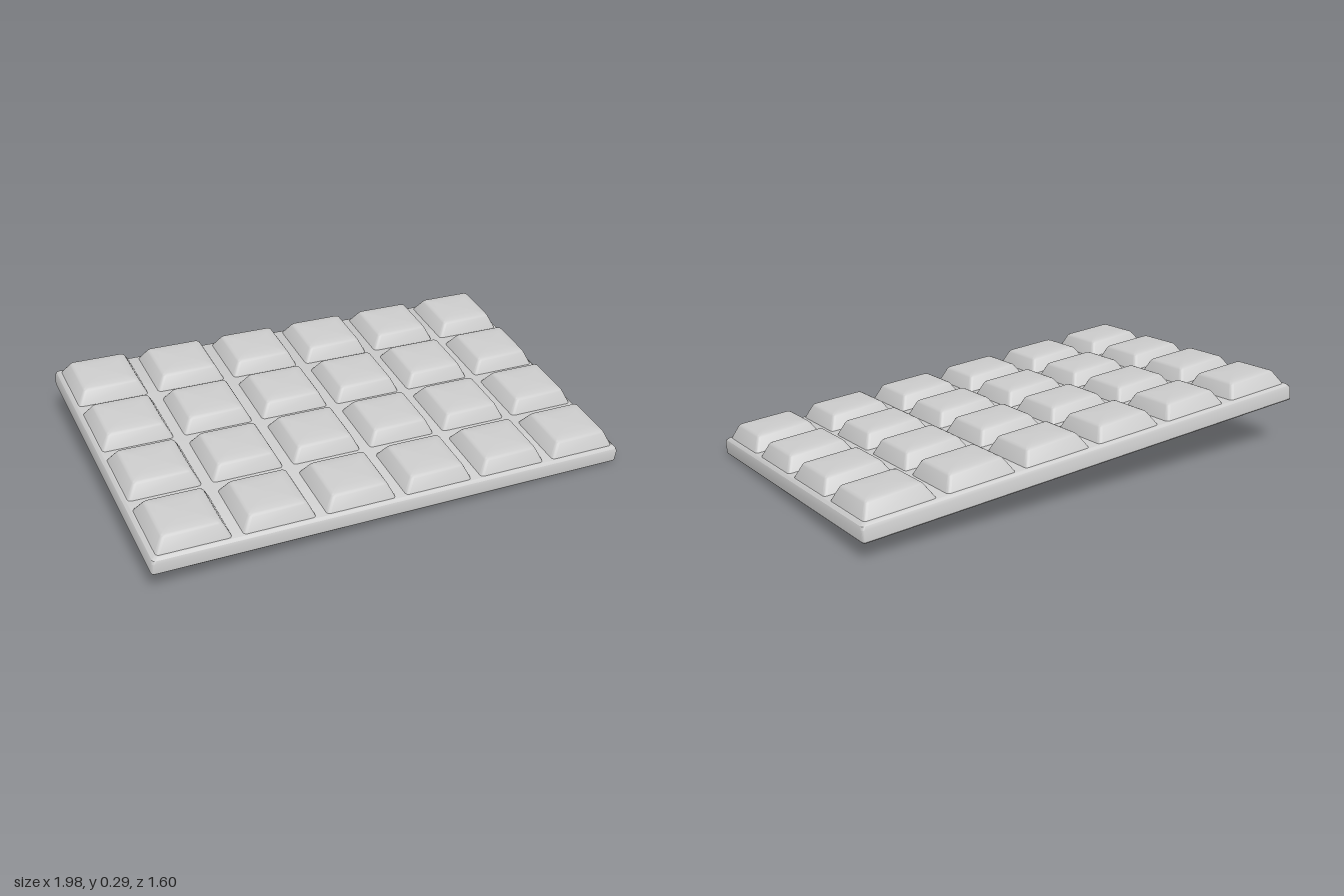
import * as THREE from 'three';
import { toCreasedNormals } from 'three/addons/utils/BufferGeometryUtils.js';

const LENGTH = 1.73, WIDTH = 1.07, COLS = 6, ROWS = 4;

// Rounded-rectangle outline, counter-clockwise seen from above
function outline(w, d, r, y, segs = 3) {
  const points = [];
  const corners = [[1, 1], [-1, 1], [-1, -1], [1, -1]];
  corners.forEach(([sx, sz], c) => {
    for (let i = 0; i <= segs; i++) {
      const a = (c + i / segs) * Math.PI / 2;
      points.push([sx * (w / 2 - r) + r * Math.cos(a), y, sz * (d / 2 - r) + r * Math.sin(a)]);
    }
  });
  return points;
}

// Stack outlines along a profile of [inset, height, corner radius] and cap both ends
function loft(w, d, profile) {
  const rings = profile.map(([inset, y, r]) => outline(w - 2 * inset, d - 2 * inset, r, y));
  const n = rings[0].length;
  const positions = rings.flat(2);
  const index = [];
  for (let k = 0; k < rings.length - 1; k++) {
    for (let i = 0; i < n; i++) {
      const a = k * n + i, b = k * n + (i + 1) % n;
      index.push(a, a + n, b, b, a + n, b + n);
    }
  }
  const last = (rings.length - 1) * n;
  const bottom = positions.length / 3, top = bottom + 1;
  positions.push(0, profile[0][1], 0, 0, profile[profile.length - 1][1], 0);
  for (let i = 0; i < n; i++) {
    const j = (i + 1) % n;
    index.push(bottom, i, j, top, last + j, last + i);
  }
  const geometry = new THREE.BufferGeometry();
  geometry.setAttribute('position', new THREE.Float32BufferAttribute(positions, 3));
  geometry.setIndex(index);
  return toCreasedNormals(geometry, 0.6);
}

export function createModel() {
  const model = new THREE.Group();
  model.name = 'chocolateBar';
  const material = new THREE.MeshStandardMaterial({ color: 0xcccccc });

  const bar = new THREE.Group();
  bar.name = 'bar';
  model.add(bar);

  // Flat slab with a bevelled upper rim
  const slab = new THREE.Mesh(loft(LENGTH, WIDTH, [
    [0.003, 0, 0.008], [0, 0.004, 0.01], [0, 0.042, 0.01], [0.004, 0.053, 0.01], [0.014, 0.06, 0.008],
  ]), material);
  slab.name = 'slab';
  bar.add(slab);

  // Grid of sloped blocks with softened top edges
  const cellX = LENGTH / COLS, cellZ = WIDTH / ROWS;
  const blockGeometry = loft(cellX - 0.034, cellZ - 0.034, [
    [0, 0.055, 0.012], [0.004, 0.065, 0.012], [0.025, 0.104, 0.012],
    [0.029, 0.109, 0.012], [0.036, 0.112, 0.01], [0.06, 0.115, 0.008],
  ]);
  for (let row = 0; row < ROWS; row++) {
    for (let col = 0; col < COLS; col++) {
      const block = new THREE.Mesh(blockGeometry, material);
      block.name = `block${row + 1}_${col + 1}`;
      block.position.set((col - (COLS - 1) / 2) * cellX, 0, (row - (ROWS - 1) / 2) * cellZ);
      bar.add(block);
    }
  }

  // The bar lies turned and slightly tilted, resting on one corner
  const along = new THREE.Vector3(1.62, -0.122, -0.6).normalize();
  const up = new THREE.Vector3(0.0866, 1, 0.0305).normalize();
  const across = new THREE.Vector3().crossVectors(along, up).normalize();
  up.crossVectors(across, along);
  bar.quaternion.setFromRotationMatrix(new THREE.Matrix4().makeBasis(along, up, across));

  // Centre it and stand it on the ground
  model.updateMatrixWorld(true);
  const box = new THREE.Box3().setFromObject(model, true);
  const centre = box.getCenter(new THREE.Vector3());
  bar.position.set(-centre.x, -box.min.y, -centre.z);
  return model;
}
